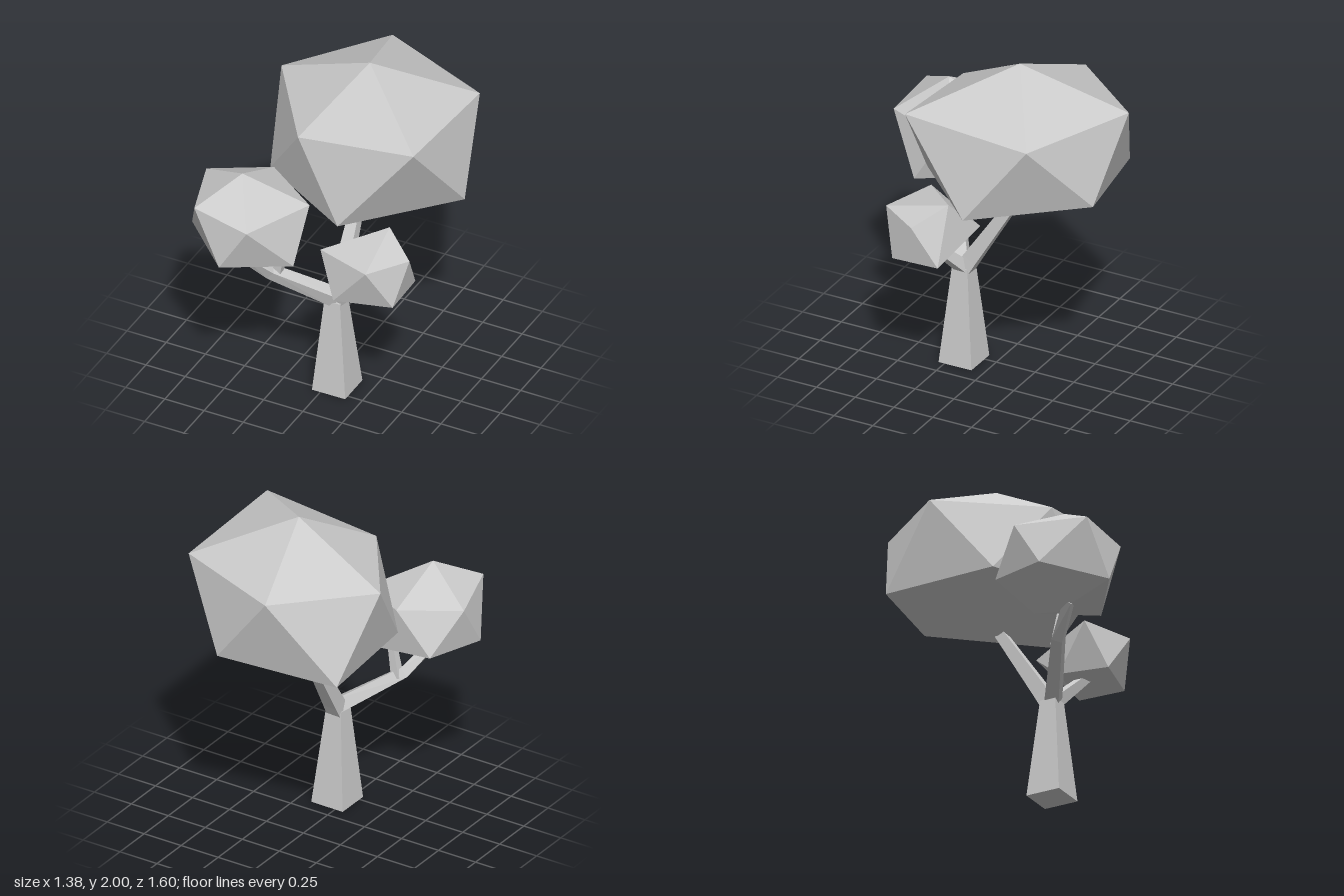
import * as THREE from 'three';
import { ConvexGeometry } from 'three/addons/geometries/ConvexGeometry.js';

const material = new THREE.MeshStandardMaterial({ color: 0xcccccc, flatShading: true });

// Faceted foliage clump: the convex hull of a few corner points
function crown(name, corners) {
  const geometry = new ConvexGeometry(corners.map((c) => new THREE.Vector3(...c)));
  const mesh = new THREE.Mesh(geometry, material);
  mesh.name = name;
  return mesh;
}

// Square-sectioned tapering limb through stations [x, y, z, halfWidth]
function limb(name, stations) {
  const points = stations.map(([x, y, z]) => new THREE.Vector3(x, y, z));
  const last = points.length - 1;
  const positions = [];
  const index = [];
  points.forEach((p, i) => {
    const t = points[Math.min(i + 1, last)].clone().sub(points[Math.max(i - 1, 0)]).normalize();
    const u = t.clone().cross(new THREE.Vector3(0, 0, 1)).normalize();
    const v = t.clone().cross(u);
    const r = stations[i][3];
    for (const [a, b] of [[1, 1], [-1, 1], [-1, -1], [1, -1]]) {
      const corner = p.clone().addScaledVector(u, a * r).addScaledVector(v, b * r);
      positions.push(corner.x, corner.y, corner.z);
    }
  });
  for (let i = 0; i < last; i++) {
    for (let k = 0; k < 4; k++) {
      const a = i * 4 + k;
      const b = i * 4 + ((k + 1) % 4);
      index.push(a, b, b + 4, a, b + 4, a + 4);
    }
  }
  // End caps
  const e = last * 4;
  index.push(0, 2, 1, 0, 3, 2, e, e + 1, e + 2, e, e + 2, e + 3);
  const geometry = new THREE.BufferGeometry();
  geometry.setAttribute('position', new THREE.Float32BufferAttribute(positions, 3));
  geometry.setIndex(index);
  const flat = geometry.toNonIndexed();
  flat.computeVertexNormals();
  const mesh = new THREE.Mesh(flat, material);
  mesh.name = name;
  return mesh;
}

export function createModel() {
  const tree = new THREE.Group();
  tree.name = 'tree';

  // Trunk and branches
  tree.add(
    limb('trunk', [[0.053, 0, 0.18, 0.106], [0.048, 0.6, 0.183, 0.05]]),
    limb('mainBranch', [[0.048, 0.58, 0.18, 0.048], [0.045, 0.66, 0.13, 0.044], [0.027, 1.12, -0.16, 0.028]]),
    limb('leftwardBranch', [[0.05, 0.61, 0.19, 0.042], [-0.26, 0.82, 0.4, 0.032], [-0.37, 0.98, 0.53, 0.025]]),
    limb('forkTwig', [[-0.23, 0.79, 0.37, 0.026], [-0.18, 1.04, 0.38, 0.018]]),
    limb('sideBranch', [[0.065, 0.6, 0.18, 0.036], [0.3, 0.84, 0.28, 0.022]])
  );

  // Large crown: top, upper ring, lower ring, bottom
  tree.add(crown('largeCrown', [
    [0.07, 2, -0.19],
    [-0.1, 1.76, -0.8], [0.6, 1.755, -0.52], [0.585, 1.8, 0.27], [-0.14, 1.715, 0.29], [-0.54, 1.73, -0.28],
    [-0.46, 1.25, -0.61], [0.25, 1.31, -0.76], [0.69, 1.275, -0.16], [0.15, 1.24, 0.365], [-0.43, 1.28, 0.07],
    [0.04, 1.05, -0.16],
  ]));

  // Medium crown, same arrangement
  tree.add(crown('mediumCrown', [
    [-0.38, 1.525, 0.51],
    [-0.69, 1.365, 0.355], [-0.56, 1.38, 0.755], [-0.215, 1.325, 0.78], [-0.03, 1.325, 0.36], [-0.36, 1.36, 0.16],
    [-0.695, 1.1, 0.52], [-0.58, 1.11, 0.17], [-0.17, 1.06, 0.19], [-0.035, 1.02, 0.55], [-0.38, 1.055, 0.8],
    [-0.37, 0.93, 0.46],
  ]));

  // Small, flatter crown
  tree.add(crown('smallCrown', [
    [0.395, 1.065, 0.495], [0.55, 1.055, 0.25], [0.355, 1.145, 0.115], [0.055, 1.065, 0.39],
    [0.135, 0.93, 0.03],
    [0.18, 0.805, 0.475], [0.515, 0.81, 0.39], [0.51, 0.815, 0.1], [0.095, 0.79, 0.2],
  ]));

  return tree;
}
